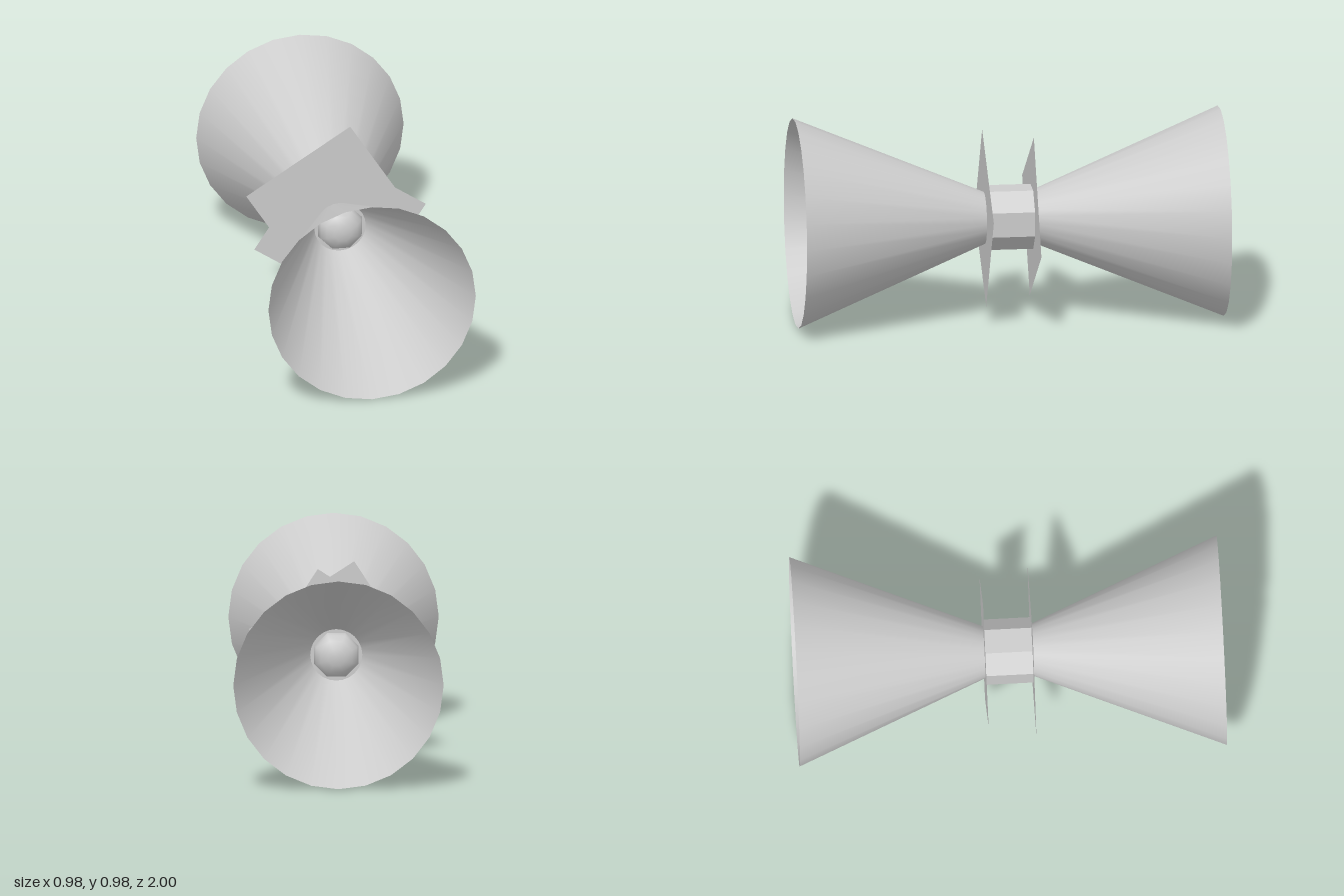
import * as THREE from 'three';

const AXIS_Y = 0.492;      // height of the long axis
const HUB = 0.112;         // half length of the hub
const EIGHTH = Math.PI / 8;

export function createModel() {
  const model = new THREE.Group();
  model.name = 'doubleCone';
  const smooth = new THREE.MeshStandardMaterial({ color: 0xcccccc, side: THREE.DoubleSide });
  const flat = new THREE.MeshStandardMaterial({ color: 0xcccccc, side: THREE.DoubleSide, flatShading: true });

  const add = (parent, name, geometry, material) => {
    const mesh = new THREE.Mesh(geometry, material);
    mesh.name = name;
    parent.add(mesh);
    return mesh;
  };

  // Octagonal hub with its flats facing up, down and sideways
  const hub = new THREE.CylinderGeometry(0.153, 0.153, HUB * 2, 8, 1, true, EIGHTH);
  add(model, 'hub', hub.rotateX(Math.PI / 2), flat).position.y = AXIS_Y;

  // Each end: a twisted square plate, a flared open horn and a small dome inside it
  for (const [name, turn] of [['frontEnd', 0], ['backEnd', Math.PI]]) {
    const end = new THREE.Group();
    end.name = name;
    end.position.y = AXIS_Y;
    end.rotation.y = turn;
    model.add(end);

    const plate = add(end, 'squarePlate', new THREE.PlaneGeometry(0.588, 0.588), flat);
    plate.position.z = HUB;
    plate.rotation.z = THREE.MathUtils.degToRad(57);

    const length = 1 - HUB;
    const horn = new THREE.CylinderGeometry(AXIS_Y, 0.122, length, 24, 1, true);
    add(end, 'horn', horn.rotateX(Math.PI / 2), smooth).position.z = HUB + length / 2;

    const dome = new THREE.SphereGeometry(0.112, 8, 4, EIGHTH, Math.PI * 2, 0, Math.PI / 2);
    dome.rotateX(Math.PI / 2).scale(1, 1, 0.75);
    add(end, 'dome', dome, smooth).position.z = HUB;
  }
  return model;
}
